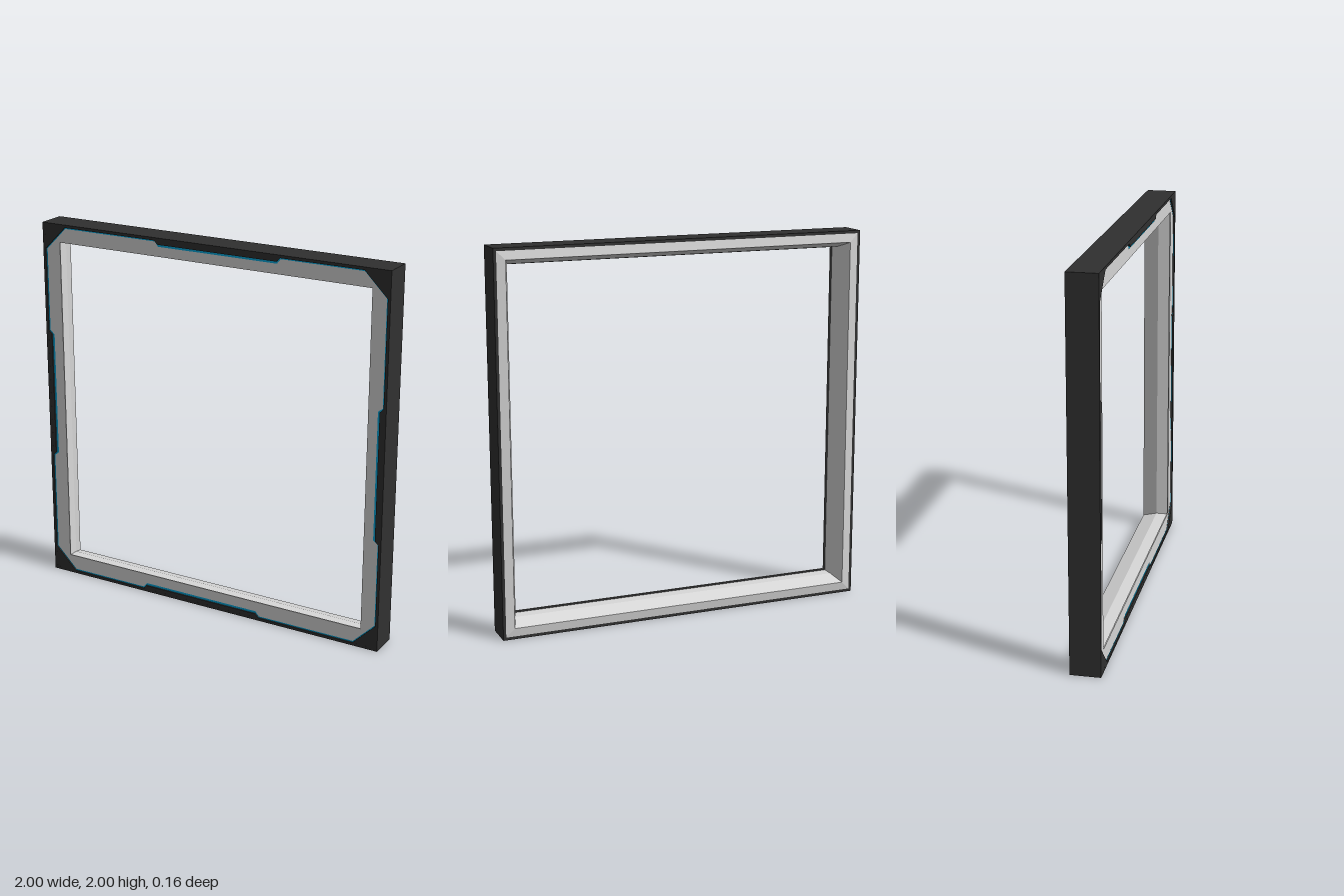
import * as THREE from 'three';

const mat = (name, color) => {
  const m = new THREE.MeshStandardMaterial({ color });
  m.name = name;
  return m;
};

// Sweeps a profile of [half-width, z] points around a square
function squareRing(name, profile, material) {
  const pts = profile.map(([r, z]) => new THREE.Vector2(r * Math.SQRT2, z));
  let geo = new THREE.LatheGeometry(pts, 4, Math.PI / 4);
  geo = geo.toNonIndexed();
  geo.rotateX(Math.PI / 2);
  geo.computeVertexNormals();
  const mesh = new THREE.Mesh(geo, material);
  mesh.name = name;
  return mesh;
}

// Chamfered outline with one offset notch per side, repeated by quarter turns
function outline(r, notch) {
  const side = [[-0.86, r], [-0.31, r], [-0.29, notch], [0.39, notch], [0.41, r], [0.86, r]];
  const pts = [];
  for (let k = 0; k < 4; k++) {
    for (const [x, y] of side) {
      const turns = [[x, y], [y, -x], [-x, -y], [-y, x]];
      pts.push(new THREE.Vector2(...turns[k]));
    }
  }
  return pts;
}

// Plate with a hole, its front face at z + depth
function plate(name, outer, inner, z, depth, material) {
  const shape = new THREE.Shape(outer);
  shape.holes.push(new THREE.Path(inner));
  const geo = new THREE.ExtrudeGeometry(shape, { depth, bevelEnabled: false });
  geo.translate(0, 0, z);
  const mesh = new THREE.Mesh(geo, material);
  mesh.name = name;
  return mesh;
}

export function createModel() {
  const dark = mat('dark casing', 0x303030);
  const light = mat('light grey frame', 0xd8d8d8);
  const blue = mat('blue trim', 0x00a8dc);
  const frame = new THREE.Group();
  frame.name = 'squareFrame';

  // Outer casing
  frame.add(squareRing('outerCasing', [
    [0.985, -0.077], [1, -0.077], [1, 0.08], [0.985, 0.08], [0.985, -0.077],
  ], dark));

  // Inner frame: flat front, straight reveal, flared back
  frame.add(squareRing('innerFrame', [
    [0.985, -0.077], [0.985, 0.07], [0.9, 0.07], [0.9, 0.064],
  ], light));
  frame.add(squareRing('innerReveal', [
    [0.91, 0.064], [0.91, 0], [0.94, -0.084], [0.985, -0.077],
  ], light));
  frame.add(squareRing('lipShadowGap', [[0.9, 0.064], [0.91, 0.064]], dark));

  // Front cover with corner triangles and side notches
  const square = [[-1, -1], [1, -1], [1, 1], [-1, 1]]
    .map(([x, y]) => new THREE.Vector2(x * 0.99, y * 0.99));
  const edge = outline(0.985, 0.965);
  frame.add(plate('frontCover', square, edge, 0.068, 0.0118, dark));

  // Thin trim following the cover's inner edge
  frame.add(plate('edgeTrim', edge, outline(0.978, 0.953), 0.068, 0.005, blue));

  frame.position.y = 1;
  const model = new THREE.Group();
  model.name = 'model';
  model.add(frame);
  return model;
}
